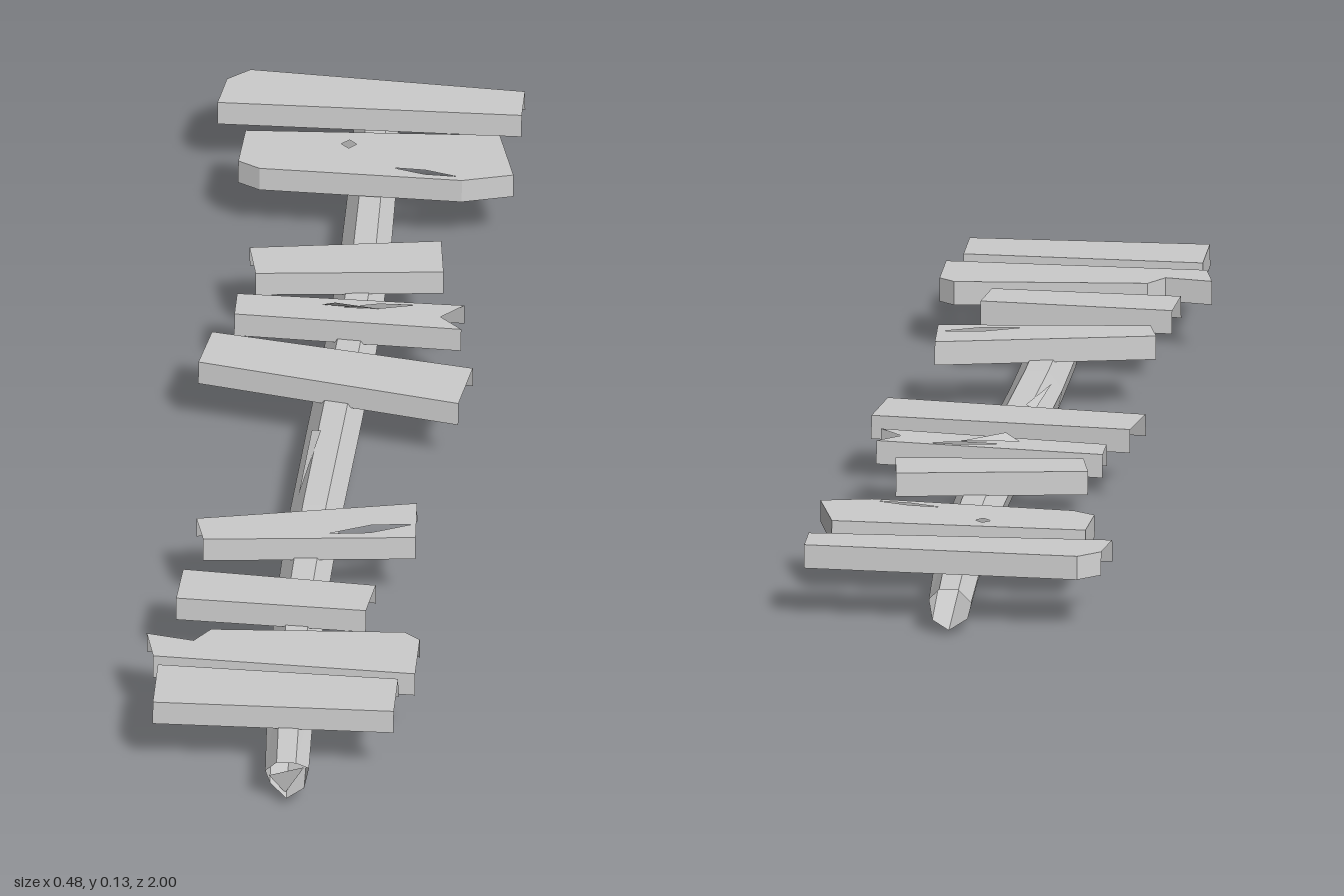
import * as THREE from 'three';

const wood = new THREE.MeshStandardMaterial({ color: 0xcccccc, flatShading: true, side: THREE.DoubleSide });

function makeMesh(name, positions, index) {
  const g = new THREE.BufferGeometry();
  g.setAttribute('position', new THREE.Float32BufferAttribute(positions, 3));
  if (index) g.setIndex(index);
  g.computeVertexNormals();
  const mesh = new THREE.Mesh(g, wood);
  mesh.name = name;
  return mesh;
}

// End of a plank: centre x and z, width along z, skew = x shift from back to front corner, top height y
const end = (x, z, width, skew = 0, y = 0.117) => ({ x, z, width, skew, y });

// Corner of a plank, side -1 = back, 1 = front
const corner = (e, side) => [e.x + side * e.skew / 2, e.z + side * e.width / 2];

// Diamond-shaped hole; slope = z change per x
function crack(x, z, length, width, slope = 0) {
  const dx = length / 2, dz = dx * slope;
  return [[x - dx, z - dz], [x, z - width / 2], [x + dx, z + dz], [x, z + width / 2]];
}

// Hollow plank shell: top board plus side walls, open below and, unless capped, at the ends.
// cuts trims corners by [dx, dz, bite]; notch is the depth of a V in the right end.
function makePlank(name, left, right, { cuts = {}, notch = 0, holes = [], capLeft = false, capRight = false } = {}) {
  const outline = [];
  const addCorner = (key, e, side, inward) => {
    const [x, z] = corner(e, side);
    if (!cuts[key]) return outline.push({ x, z, wall: true });
    const [dx, dz, bite = 0] = cuts[key];
    const onEnd = { x, z: z - side * dz, wall: true };
    const onSide = { x: x + inward * dx, z, wall: true };
    const torn = { x: x + inward * dx * 0.75, z: z - side * (dz + bite), wall: true };
    const points = bite ? [onEnd, torn, onSide] : [onEnd, onSide];
    outline.push(...(inward * side < 0 ? points : points.reverse()));
  };
  // Clockwise from above
  addCorner('leftBack', left, -1, 1);
  addCorner('rightBack', right, -1, -1);
  outline.at(-1).wall = capRight;
  if (notch) outline.push({ x: right.x - notch, z: right.z, wall: capRight });
  addCorner('rightFront', right, 1, -1);
  addCorner('leftFront', left, 1, 1);
  outline.at(-1).wall = capLeft;

  // Height and centre line run straight from end to end
  const along = x => (x - left.x) / (right.x - left.x);
  const topY = x => THREE.MathUtils.lerp(left.y, right.y, along(x));
  const midZ = x => THREE.MathUtils.lerp(left.z, right.z, along(x));

  // Top board
  const shape = new THREE.Shape(outline.map(p => new THREE.Vector2(p.x, -p.z)));
  shape.holes = holes.map(h => new THREE.Path(h.map(([x, z]) => new THREE.Vector2(x, -z))));
  const geometry = new THREE.ShapeGeometry(shape).rotateX(-Math.PI / 2);
  const p = geometry.attributes.position;
  for (let i = 0; i < p.count; i++) p.setY(i, topY(p.getX(i)));
  geometry.computeVertexNormals();
  const board = new THREE.Mesh(geometry, wood);
  board.name = name + 'Top';

  // Slightly flared side walls
  const walls = [];
  outline.forEach((a, i) => {
    if (!a.wall) return;
    const b = outline[(i + 1) % outline.length];
    const upper = q => [q.x, topY(q.x), q.z];
    const lower = q => [q.x, topY(q.x) - 0.037, q.z + 0.005 * Math.sign(q.z - midZ(q.x))];
    walls.push(...upper(a), ...upper(b), ...lower(b), ...upper(a), ...lower(b), ...lower(a));
  });
  const group = new THREE.Group();
  group.name = name;
  group.add(board, makeMesh(name + 'Sides', walls));
  return group;
}

// Faceted hollow log, slightly bent and thickest in the middle
function makeLog() {
  const sides = 7, steps = 8, positions = [], index = [];
  for (let s = 0; s <= steps; s++) {
    const z = -1 + 2 * s / steps;
    const x = 0.003 - 0.014 * Math.sin(z * Math.PI);
    const y = 0.044 + 0.005 * Math.max(z, 0);
    const r = 0.043 - 0.008 * z * z;
    for (let k = 0; k < sides; k++) {
      const a = (k + 0.5) / sides * Math.PI * 2 + Math.PI / 2;
      // Ragged cut on both ends
      const ragged = s % steps === 0 ? -Math.sign(z) * 0.012 * (k % 3) : 0;
      positions.push(x + r * Math.cos(a), y + r * Math.sin(a), z + ragged);
      if (s === 0) continue;
      const n = (k + 1) % sides, lo = (s - 1) * sides, hi = s * sides;
      index.push(lo + k, lo + n, hi + n, lo + k, hi + n, hi + k);
    }
  }
  return makeMesh('log', positions, index);
}

export function createModel() {
  const model = new THREE.Group();
  model.name = 'plankWalkway';
  model.add(makeLog());

  // Planks from back to front
  model.add(makePlank('plankBack', end(-0.235, -0.9, 0.1, -0.01, 0.122), end(0.24, -0.885, 0.07, 0, 0.12),
    { cuts: { leftBack: [0.035, 0.03] } }));
  model.add(makePlank('plankWithKnothole', end(-0.193, -0.725, 0.11, -0.005), end(0.225, -0.718, 0.135, 0.03, 0.123),
    { cuts: { rightFront: [0.08, 0.02], leftFront: [0.035, 0.02] }, capLeft: true, capRight: true,
      holes: [crack(-0.025, -0.748, 0.024, 0.024), crack(0.1, -0.672, 0.1, 0.012, 0.2)] }));
  model.add(makePlank('plankShortBack', end(-0.152, -0.402, 0.075, 0.015), end(0.145, -0.435, 0.09, 0.01)));
  model.add(makePlank('plankSplintered', end(-0.17, -0.285, 0.06, 0, 0.11), end(0.19, -0.26, 0.07),
    { notch: 0.035, holes: [crack(0.055, -0.287, 0.11, 0.013, -0.1)] }));
  model.add(makePlank('plankMiddle', end(-0.208, -0.145, 0.09, -0.015), end(0.208, -0.072, 0.105, -0.015, 0.11)));
  model.add(makePlank('plankSplit', end(-0.178, 0.385, 0.06, 0.015), end(0.16, 0.336, 0.1, 0.005),
    { holes: [crack(0.09, 0.366, 0.13, 0.022, -0.28)] }));
  model.add(makePlank('plankShortFront', end(-0.198, 0.547, 0.085, -0.005), end(0.105, 0.567, 0.075, -0.01)));
  model.add(makePlank('plankBroken', end(-0.232, 0.713, 0.085, 0.015, 0.114), end(0.19, 0.715, 0.12, 0, 0.112),
    { cuts: { leftBack: [0.1, 0.02, 0.015], rightBack: [0.025, 0.02] } }));
  model.add(makePlank('plankFront', end(-0.215, 0.84, 0.11), end(0.165, 0.847, 0.095), { capLeft: true }));

  // Loose splinters on the log and the torn plank
  model.add(makeMesh('logEndSplinter', [-0.025, 0.05, 0.99, 0, 0.012, 0.98, 0.03, 0.064, 0.985]));
  model.add(makeMesh('logSplinter', [-0.035, 0.075, 0.21, -0.012, 0.088, 0.04, -0.027, 0.082, 0.03]));
  model.add(makeMesh('plankSplinter', [0.06, 0.115, -0.278, -0.012, 0.129, -0.27, -0.035, 0.118, -0.28]));
  return model;
}
